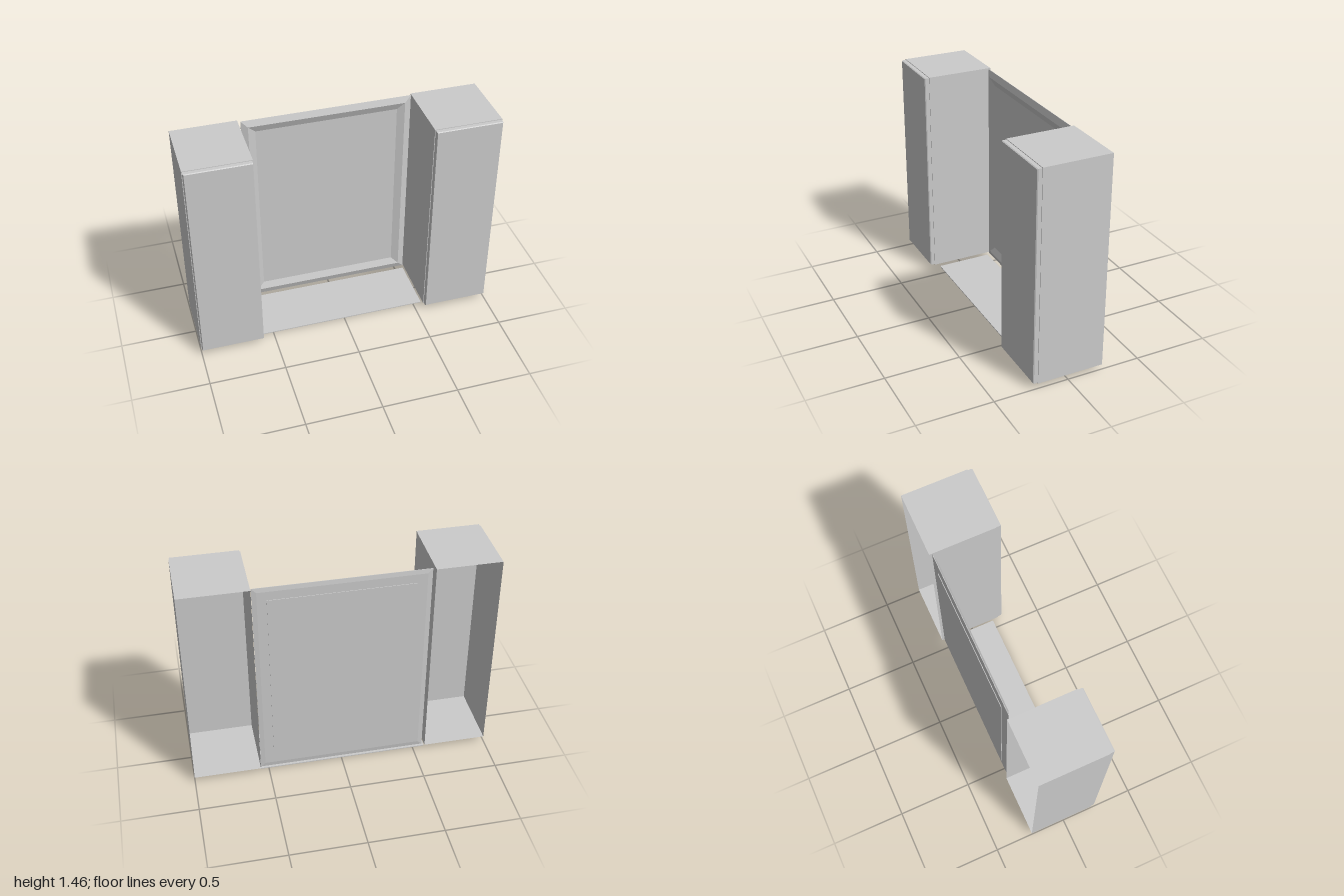
import * as THREE from 'three';

// Lofts rectangular rings [x0, x1, y0, y1, z], listed from the back round to the front.
function loft(rings, capBack, material, name) {
  const pos = [];
  const corners = ([x0, x1, y0, y1, z]) => [[x0, y0, z], [x1, y0, z], [x1, y1, z], [x0, y1, z]];
  const quad = (a, b, c, d) => pos.push(...a, ...b, ...c, ...a, ...c, ...d);
  const loops = rings.map(corners);
  for (let r = 0; r < loops.length - 1; r++) {
    const a = loops[r], b = loops[r + 1];
    for (let i = 0; i < 4; i++) {
      const j = (i + 1) % 4;
      quad(a[i], a[j], b[j], b[i]);
    }
  }
  quad(...loops[loops.length - 1]);
  if (capBack) quad(...loops[0].slice().reverse());
  const geometry = new THREE.BufferGeometry();
  geometry.setAttribute('position', new THREE.Float32BufferAttribute(pos, 3));
  geometry.computeVertexNormals();
  const mesh = new THREE.Mesh(geometry, material);
  mesh.name = name;
  return mesh;
}

export function createModel() {
  const model = new THREE.Group();
  model.name = 'cabinetSet';
  const grey = new THREE.MeshStandardMaterial({ color: 0xcccccc });
  const shell = new THREE.MeshStandardMaterial({ color: 0xcccccc, side: THREE.DoubleSide });

  const bottom = 0.035, top = 1.46;

  // Two tall side cabinets: thin carcass open at the back, slightly smaller door in front
  for (const [name, x0, x1] of [['rightCabinet', -1, -0.577], ['leftCabinet', 0.557, 1]]) {
    const cabinet = new THREE.Group();
    cabinet.name = name;
    cabinet.add(loft([
      [x0, x1, bottom, top, -0.24],
      [x0, x1, bottom, top, 0.207],
    ], false, shell, 'carcass'));
    const ring = (inset, z) => [x0 + inset, x1 - inset, bottom + inset, top - inset, z];
    cabinet.add(loft([ring(0.004, 0.207), ring(0.004, 0.232), ring(0.008, 0.238)], true, grey, 'door'));
    model.add(cabinet);
  }

  // Back panel with a bevelled rim raised around a recessed field
  const rim = (inset, z) => [-0.56 + inset, 0.553 - inset, bottom + inset, top - inset, z];
  model.add(loft([
    rim(0.09, -0.23),
    rim(0.09, -0.226),
    rim(0.03, -0.226),
    rim(0, -0.222),
    rim(0, -0.219),
    rim(0.042, -0.205),
    rim(0.09, -0.223),
  ], true, grey, 'backPanel'));

  // Thin floor shelf between the cabinets, its underside slightly bowed
  const profile = new THREE.Shape();
  profile.moveTo(-0.165, 0.012);
  profile.lineTo(-0.165, 0.006);
  profile.quadraticCurveTo(0.025, -0.006, 0.215, 0.006);
  profile.lineTo(0.215, 0.012);
  profile.closePath();
  const shelfGeometry = new THREE.ExtrudeGeometry(profile, { depth: 1.135, bevelEnabled: false, curveSegments: 12 });
  shelfGeometry.rotateY(Math.PI / 2);
  shelfGeometry.translate(-0.58, 0, 0);
  const shelf = new THREE.Mesh(shelfGeometry, grey);
  shelf.name = 'floorShelf';
  model.add(shelf);

  return model;
}
